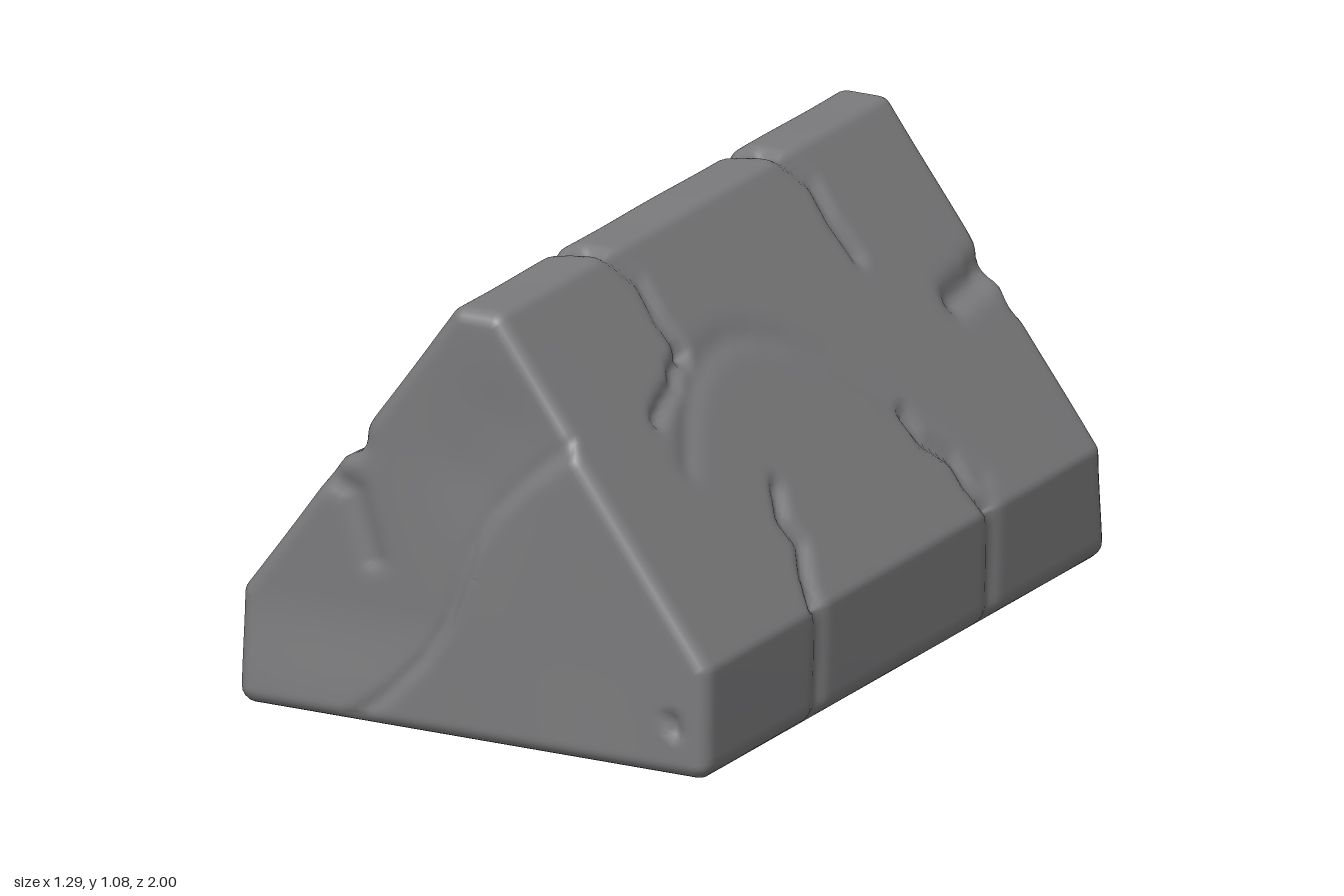
import * as THREE from 'three';

const stone = new THREE.MeshStandardMaterial({ color: 0x7b7b7d });
stone.name = 'grey stone';

const R = 0.04;       // rounding of all edges
const STEP = 0.018;   // mesh spacing
const smooth = THREE.MathUtils.smoothstep;

// Rounded gable section: core points with outward normals, counter-clockwise
function section() {
  const right = [[0.605, 0.044], [0.605, 0.272], [0.041, 1.045]].map(([x, y]) => new THREE.Vector2(x, y));
  const left = right.map(p => new THREE.Vector2(-p.x, p.y)).reverse();
  const core = [...right, ...left], n = core.length, pts = [];
  const edgeAngle = i => {
    const a = core[(i + n) % n], b = core[(i + 1) % n];
    return Math.atan2(b.y - a.y, b.x - a.x) - Math.PI / 2;
  };
  core.forEach((corner, i) => {
    const start = edgeAngle(i - 1);
    let turn = edgeAngle(i) - start;
    while (turn < 0) turn += Math.PI * 2;
    const add = (p, a) => pts.push({ p, nx: Math.cos(a), ny: Math.sin(a) });
    for (let k = 0; k <= 4; k++) add(corner, start + turn * k / 4);
    const next = core[(i + 1) % n], count = Math.ceil(corner.distanceTo(next) / STEP);
    for (let k = 1; k < count; k++) add(corner.clone().lerp(next, k / count), start + turn);
  });
  return pts;
}

// Rings from the front centre over the sides to the back centre
function ringList() {
  const cap = [], half = 1 - R, rMin = R / 10;
  for (let k = 0; k <= 32; k++) cap.push({ s: k / 32, r: rMin * k / 32, z: 1 });
  for (let k = 1; k <= 5; k++) {
    const a = k / 5 * Math.PI / 2;
    cap.push({ s: 1, r: rMin + (R - rMin) * Math.sin(a), z: half + R * Math.cos(a) });
  }
  const rings = [...cap];
  for (let k = 1; k < 112; k++) rings.push({ s: 1, r: R, z: half - 2 * half * k / 112 });
  return rings.concat([...cap].reverse().map(c => ({ ...c, z: -c.z })));
}

// Point on the sloping side at distance x from the middle plane
const onSlope = (side, x, z) => new THREE.Vector3(side * x, Math.min(1.085, 1.173 - x * 1.37), z);

const cracks = [];
function addCrack(depth, width, path) {
  cracks.push({ depth, width, lines: path.slice(1).map((p, i) => new THREE.Line3(path[i], p)) });
}
// Jagged crack down a slope, from (x0, z0) to (x1, z1)
function slopeCrack(side, x0, z0, x1, z1, depth = 0.02, width = 0.022) {
  addCrack(depth, width, [0, 1, 2, 3, 4].map(k => {
    const t = k / 4, wiggle = 0.025 * Math.sin(k * 2.2);
    return onSlope(side, x0 + (x1 - x0) * t, z0 + (z1 - z0) * t + wiggle);
  }));
}
// Long bow-shaped crack, highest at zTop
function bowCrack(side, xTop, zTop, bend, zFrom, zTo, depth, width) {
  addCrack(depth, width, Array.from({ length: 11 }, (_, k) => {
    const z = zFrom + (zTo - zFrom) * k / 10;
    return onSlope(side, xTop + bend * (z - zTop) ** 2, z);
  }));
}

// Cracks from the ridge and from the eaves, on both sides
for (const side of [1, -1]) {
  for (const z of [0.43, -0.43]) {
    slopeCrack(side, 0, z, 0.24, z - side * 0.08, 0.018);
    slopeCrack(side, 0.47, z * 0.75, 0.64, z, 0.02);
    addCrack(0.013, 0.026, [0.3, 0.15, 0].map(y => new THREE.Vector3(side * 0.645, y, z + 0.2 * (0.3 - y) ** 2)));
  }
  // broken corner at the top of each end
  slopeCrack(side, 0.34, -side, 0.36, -side * 0.77, 0.028, 0.038);
}
bowCrack(1, 0.25, 0.2, 0.8, 0.6, -0.46, 0.009, 0.035);
bowCrack(-1, 0.31, 0.13, -0.9, -0.34, 0.42, 0.017, 0.02);
slopeCrack(1, 0.24, 0.37, 0.3, 0.6);

// Long break across the ends; it bulges a little beside a straight line
const breakX = y => -0.34 + 0.78 * y + 0.06 * Math.sin(y * 8);
for (const end of [1, -1]) {
  const onEnd = (x, y) => new THREE.Vector3(x * end, y, end);
  addCrack(0.01, 0.018, Array.from({ length: 9 }, (_, k) => onEnd(breakX(k / 10), k / 10)));
  addCrack(0.014, 0.03, [onEnd(-0.42, 0.62), onEnd(-0.33, 0.58), onEnd(-0.28, 0.42)]);
  addCrack(0.009, 0.13, [onEnd(0, 0.7), onEnd(0.05, 0.8)]);
}
// small pit near the front corner
addCrack(0.02, 0.016, [new THREE.Vector3(0.545, 0.15, 1), new THREE.Vector3(0.555, 0.12, 1)]);

// How far the surface is worn in at a point
const near = new THREE.Vector3();
function wear(p) {
  let total = 0;
  for (const { lines, depth, width } of cracks) {
    let d = Infinity;
    for (const l of lines) d = Math.min(d, l.closestPointToPoint(p, true, near).distanceTo(p));
    total += depth * Math.exp(-((d / width) ** 2));
  }
  return Math.min(total, 0.04) + 0.0015 * (1 + Math.sin(p.x * 9 + p.z * 5) * Math.sin(p.y * 8 - p.z * 7));
}

// The end faces are set back on the upper side of the long break
function setBack(p) {
  const end = Math.sign(p.z), across = p.x * end - breakX(p.y);
  return end * 0.022 * (1 - smooth(across, -0.03, 0.03)) * smooth(Math.abs(p.z), 0.8, 0.97) * smooth(p.y, 0, 0.3);
}

export function createModel() {
  const profile = section(), rings = ringList(), n = profile.length;
  const positions = [], index = [];
  rings.forEach(({ s, r, z }, k) => {
    profile.forEach(({ p, nx, ny }, i) => {
      positions.push(p.x * s + nx * r, 0.42 + (p.y - 0.42) * s + ny * r, z);
      if (k === rings.length - 1) return;
      const a = k * n + i, b = k * n + (i + 1) % n;
      index.push(a, a + n, b + n, a, b + n, b);
    });
  });
  const geometry = new THREE.BufferGeometry();
  geometry.setAttribute('position', new THREE.Float32BufferAttribute(positions, 3));
  geometry.setIndex(index);
  geometry.computeVertexNormals();

  // Carve cracks, dents and the broken ends
  const pos = geometry.attributes.position, nor = geometry.attributes.normal;
  const p = new THREE.Vector3(), normal = new THREE.Vector3();
  for (let i = 0; i < pos.count; i++) {
    p.fromBufferAttribute(pos, i);
    normal.fromBufferAttribute(nor, i);
    const back = setBack(p);
    if (normal.y > -0.8) p.addScaledVector(normal, -wear(p));
    pos.setXYZ(i, p.x, Math.max(p.y, 0), p.z - back);
  }
  geometry.computeVertexNormals();

  const block = new THREE.Mesh(geometry, stone);
  block.name = 'crackedStoneBlock';
  const group = new THREE.Group();
  group.name = 'gabledStone';
  group.add(block);
  return group;
}
